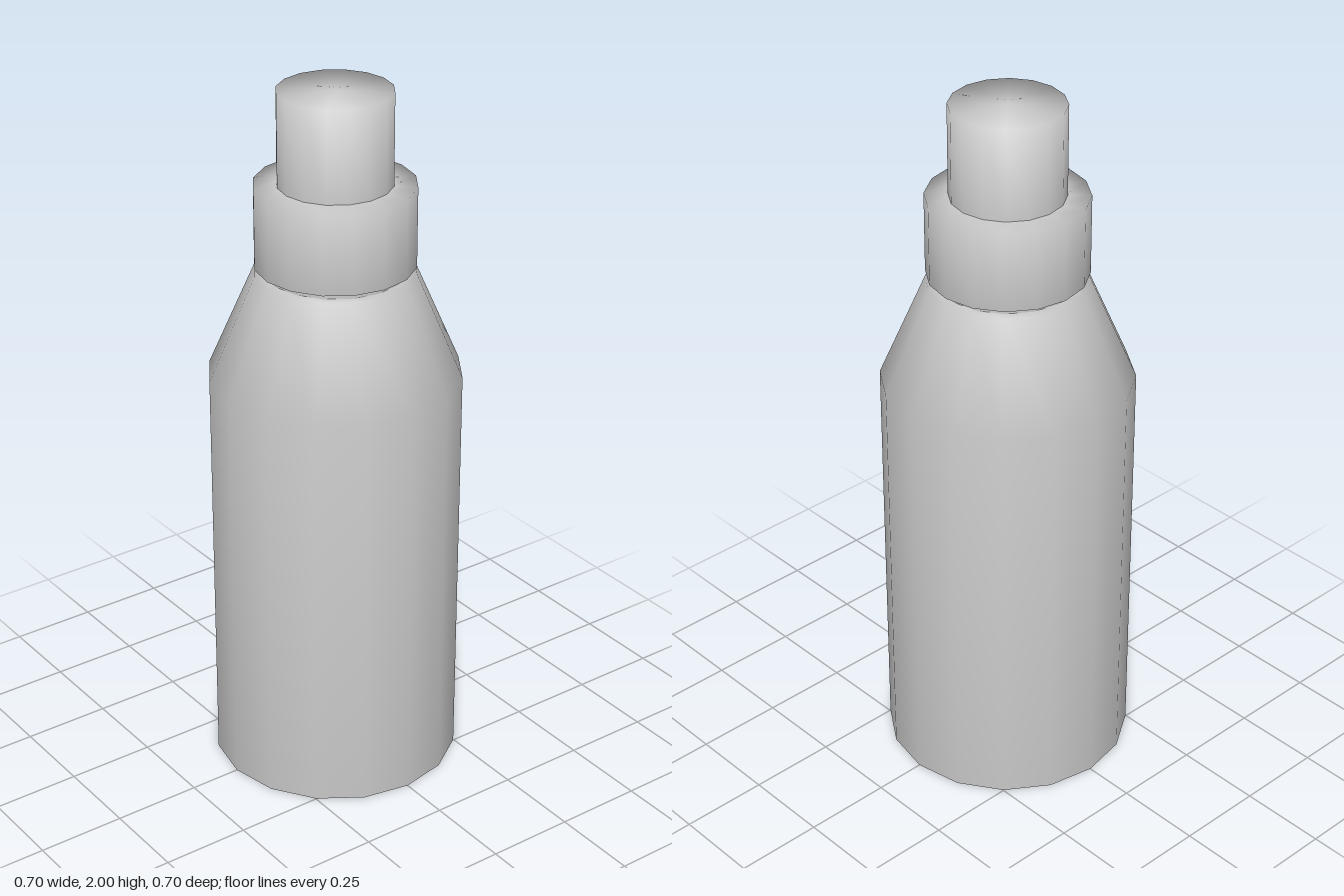
import * as THREE from 'three';

const SIDES = 16;
const material = new THREE.MeshStandardMaterial({ color: 0xcccccc });

// Turns a [radius, height] profile, listed bottom to top, into a smooth 16-sided part
function turned(name, profile) {
  const points = profile.map(([r, y]) => new THREE.Vector2(r, y));
  const mesh = new THREE.Mesh(new THREE.LatheGeometry(points, SIDES), material);
  mesh.name = name;
  return mesh;
}

export function createModel() {
  const bottle = new THREE.Group();
  bottle.name = 'bottle';

  // Base, straight wall, sloped shoulder and its flat top
  bottle.add(turned('body', [
    [0, 0], [0.28, 0], [0.352, 0], [0.352, 1.19], [0.223, 1.49], [0.19, 1.49],
  ]));

  // Narrow neck showing as a thin gap under the collar
  bottle.add(turned('neck', [[0.197, 1.485], [0.197, 1.52]]));

  // Wide collar, closed above and below around the neck and nozzle
  bottle.add(turned('collar', [
    [0.19, 1.51], [0.222, 1.51], [0.222, 1.74], [0.15, 1.74],
  ]));

  // Nozzle with a closed top
  bottle.add(turned('nozzle', [[0.158, 1.735], [0.158, 2], [0, 2]]));

  return bottle;
}
